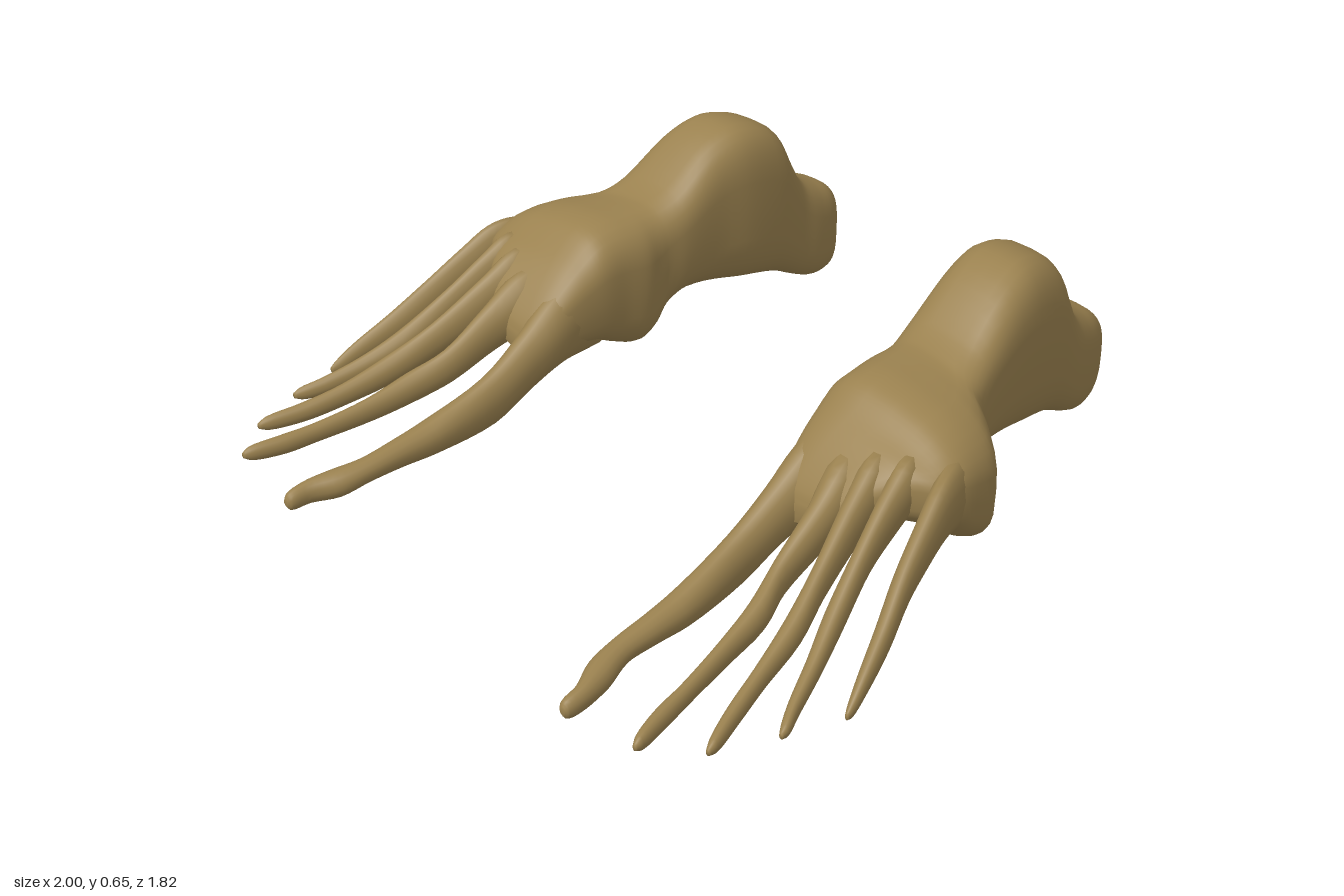
import * as THREE from 'three';

const skin = new THREE.MeshStandardMaterial({ color: 0x9a814f });

// Smooth closed skin through a list of rings; side -1 mirrors it across x = 0.
function loft(name, rings, steps, side) {
  const n = rings[0].length;
  const count = (rings.length - 1) * steps + 1;
  const columns = rings[0].map((_, j) => new THREE.CatmullRomCurve3(rings.map((r) => r[j])));
  const pos = [];
  const index = [];
  const add = (p) => pos.push(p.x * side, p.y, p.z);
  const tri = (a, b, c) => (side > 0 ? index.push(a, b, c) : index.push(a, c, b));
  for (let i = 0; i < count; i++) {
    for (const curve of columns) add(curve.getPoint(i / (count - 1)));
  }
  for (let i = 0; i < count - 1; i++) {
    for (let j = 0; j < n; j++) {
      const a = i * n + j;
      const b = i * n + ((j + 1) % n);
      tri(a, b, b + n);
      tri(a, b + n, a + n);
    }
  }
  // Close both ends with a fan
  const middle = (ring) => ring.reduce((s, p) => s.add(p), new THREE.Vector3()).divideScalar(n);
  const back = n * count;
  add(middle(rings[0]));
  add(middle(rings[rings.length - 1]));
  for (let j = 0; j < n; j++) {
    const k = (j + 1) % n;
    tri(back, k, j);
    tri(back + 1, back - n + j, back - n + k);
  }
  const geo = new THREE.BufferGeometry();
  geo.setAttribute('position', new THREE.Float32BufferAttribute(pos, 3));
  geo.setIndex(index);
  geo.computeVertexNormals();
  const mesh = new THREE.Mesh(geo, skin);
  mesh.name = name;
  return mesh;
}

// Rounded-box ring; the top curves down and the bottom slopes towards the outer side
function bodyRing([z, x0, x1, b0, b1, t0, t1]) {
  const soft = (v) => Math.sign(v) * Math.pow(Math.abs(v), 0.62);
  return Array.from({ length: 32 }, (_, j) => {
    const a = (j / 32) * Math.PI * 2;
    const u = (soft(Math.cos(a)) + 1) / 2;
    const v = (soft(Math.sin(a)) + 1) / 2;
    const bottom = THREE.MathUtils.lerp(b0, b1, u);
    const top = THREE.MathUtils.lerp(t0, t1, u * u);
    return new THREE.Vector3(THREE.MathUtils.lerp(x0, x1, u), THREE.MathUtils.lerp(bottom, top, v), z);
  });
}

// Elliptical ring: z, centre x, centre y, half width, half height
function toeRing([z, x, y, rx, ry]) {
  return Array.from({ length: 14 }, (_, j) => {
    const a = (j / 14) * Math.PI * 2;
    return new THREE.Vector3(x + rx * Math.cos(a), y + ry * Math.sin(a), z);
  });
}

// z, inner x, outer x, bottom inner/outer, top inner/outer
const heelAndInstep = [
  [-0.912, 0.455, 0.53, 0.19, 0.19, 0.29, 0.29],
  [-0.902, 0.425, 0.555, 0.14, 0.14, 0.335, 0.335],
  [-0.87, 0.393, 0.575, 0.105, 0.105, 0.37, 0.365],
  [-0.81, 0.383, 0.595, 0.095, 0.095, 0.4, 0.39],
  [-0.75, 0.383, 0.608, 0.115, 0.115, 0.44, 0.43],
  [-0.7, 0.38, 0.618, 0.14, 0.14, 0.53, 0.52],
  [-0.65, 0.373, 0.63, 0.16, 0.16, 0.615, 0.605],
  [-0.53, 0.373, 0.652, 0.185, 0.185, 0.655, 0.65],
  [-0.43, 0.386, 0.667, 0.205, 0.205, 0.625, 0.615],
  [-0.31, 0.392, 0.69, 0.215, 0.215, 0.53, 0.52],
  [-0.25, 0.4, 0.722, 0.175, 0.175, 0.505, 0.48],
  [-0.215, 0.397, 0.79, 0.12, 0.12, 0.505, 0.44],
];
const palm = [
  [-0.17, 0.39, 0.842, 0.095, 0.105, 0.505, 0.425],
  [-0.1, 0.398, 0.857, 0.115, 0.14, 0.502, 0.425],
  [-0.04, 0.402, 0.858, 0.14, 0.2, 0.485, 0.415],
  [0.01, 0.41, 0.845, 0.15, 0.24, 0.445, 0.395],
  [0.06, 0.42, 0.785, 0.16, 0.25, 0.4, 0.395],
  [0.12, 0.435, 0.715, 0.16, 0.24, 0.335, 0.355],
  [0.165, 0.45, 0.655, 0.15, 0.22, 0.27, 0.295],
  [0.178, 0.48, 0.62, 0.17, 0.22, 0.23, 0.26],
];

// Inner to outer, each from buried root to tip
const toes = {
  bigToe: [
    [-0.05, 0.475, 0.29, 0.05, 0.135], [0.1, 0.478, 0.245, 0.06, 0.103], [0.2, 0.475, 0.188, 0.048, 0.082],
    [0.32, 0.475, 0.122, 0.041, 0.073], [0.5, 0.49, 0.08, 0.042, 0.049], [0.6, 0.495, 0.07, 0.036, 0.038],
    [0.7, 0.5, 0.06, 0.033, 0.032], [0.78, 0.52, 0.045, 0.039, 0.036], [0.85, 0.545, 0.037, 0.025, 0.031],
    [0.9, 0.548, 0.03, 0.018, 0.024], [0.91, 0.549, 0.03, 0.008, 0.01],
  ],
  secondToe: [
    [-0.05, 0.56, 0.31, 0.045, 0.08], [0.1, 0.6, 0.285, 0.055, 0.085], [0.2, 0.62, 0.23, 0.039, 0.067],
    [0.33, 0.635, 0.16, 0.028, 0.05], [0.43, 0.668, 0.12, 0.031, 0.043], [0.55, 0.69, 0.09, 0.023, 0.034],
    [0.7, 0.722, 0.068, 0.02, 0.027], [0.79, 0.742, 0.06, 0.022, 0.027], [0.87, 0.766, 0.056, 0.015, 0.02],
    [0.89, 0.772, 0.055, 0.006, 0.008],
  ],
  thirdToe: [
    [-0.07, 0.645, 0.31, 0.035, 0.07], [0.06, 0.67, 0.315, 0.046, 0.085], [0.15, 0.69, 0.27, 0.037, 0.072],
    [0.3, 0.733, 0.185, 0.027, 0.05], [0.42, 0.772, 0.126, 0.029, 0.041], [0.55, 0.805, 0.085, 0.022, 0.031],
    [0.66, 0.838, 0.06, 0.021, 0.027], [0.75, 0.872, 0.047, 0.015, 0.02], [0.775, 0.88, 0.044, 0.006, 0.008],
  ],
  fourthToe: [
    [-0.09, 0.72, 0.32, 0.03, 0.06], [0.03, 0.74, 0.333, 0.042, 0.076], [0.1, 0.755, 0.298, 0.034, 0.07],
    [0.2, 0.78, 0.24, 0.027, 0.054], [0.35, 0.828, 0.143, 0.028, 0.043], [0.45, 0.87, 0.095, 0.023, 0.032],
    [0.55, 0.912, 0.06, 0.018, 0.025], [0.6, 0.938, 0.047, 0.014, 0.018], [0.62, 0.946, 0.044, 0.006, 0.008],
  ],
  littleToe: [
    [-0.16, 0.79, 0.29, 0.03, 0.07], [-0.05, 0.815, 0.31, 0.042, 0.092], [0.02, 0.838, 0.305, 0.037, 0.086],
    [0.1, 0.863, 0.265, 0.032, 0.072], [0.2, 0.895, 0.205, 0.028, 0.056], [0.3, 0.935, 0.135, 0.025, 0.044],
    [0.4, 0.972, 0.078, 0.018, 0.03], [0.45, 0.989, 0.048, 0.011, 0.019], [0.467, 0.994, 0.042, 0.005, 0.008],
  ],
};

function makeFoot(name, side) {
  const foot = new THREE.Group();
  foot.name = name;
  foot.add(loft('heelAndPalm', [...heelAndInstep, ...palm].map(bodyRing), 4, side));
  for (const [toe, rings] of Object.entries(toes)) {
    foot.add(loft(toe, rings.map(toeRing), 4, side));
  }
  return foot;
}

export function createModel() {
  const model = new THREE.Group();
  model.name = 'longToedFeet';
  model.add(makeFoot('leftFoot', 1), makeFoot('rightFoot', -1));
  return model;
}
